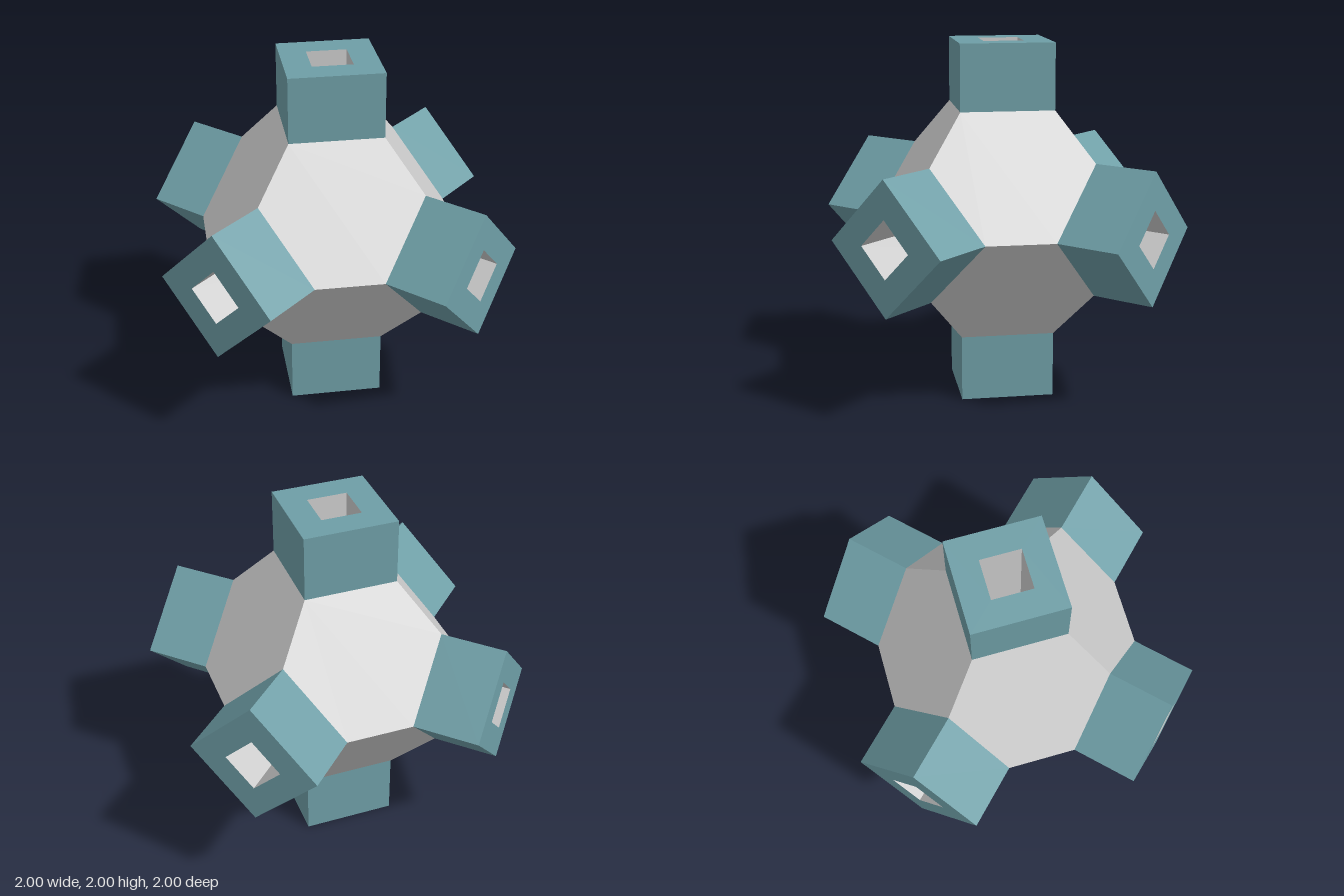
import * as THREE from 'three';

const A = 0.367;   // half diagonal of the arms
const B = 0.633;   // distance from centre to each arm's root
const H = 0.158;   // half diagonal of the tunnels

const grey = new THREE.MeshStandardMaterial({ color: 0xcccccc, flatShading: true });
const teal = new THREE.MeshStandardMaterial({ color: 0x6e9ea6, flatShading: true });

// Flat geometry from convex polygons, each fanned from its first corner
function polygons(list) {
  const pos = [];
  for (const p of list)
    for (let i = 1; i < p.length - 1; i++) pos.push(...p[0], ...p[i], ...p[i + 1]);
  const geo = new THREE.BufferGeometry();
  geo.setAttribute('position', new THREE.Float32BufferAttribute(pos, 3));
  geo.computeVertexNormals();
  return geo;
}

function part(name, geo, material) {
  const mesh = new THREE.Mesh(geo, material);
  mesh.name = name;
  return mesh;
}

// Eight hexagons of a truncated octahedron, mirrored into every octant
function bodyGeometry() {
  const hexagon = [[0, B, A], [0, A, B], [A, 0, B], [B, 0, A], [B, A, 0], [A, B, 0]];
  const faces = [];
  for (const x of [-1, 1]) for (const y of [-1, 1]) for (const z of [-1, 1]) {
    const face = hexagon.map((p) => [p[0] * x, p[1] * y, p[2] * z]);
    faces.push(x * y * z > 0 ? face : face.reverse());
  }
  return polygons(faces);
}

// Inner walls of one tunnel, mitred where the three tunnels cross
function tunnelGeometry() {
  const wall = [[0, 1, H], [H, 1, 0], [H, H, 0], [H / 2, H / 2, H / 2], [0, H, H]];
  const up = new THREE.Vector3(0, 1, 0);
  const walls = [0, 1, 2, 3].map((i) => wall.map((p) =>
    new THREE.Vector3(...p).applyAxisAngle(up, i * Math.PI / 2).toArray()));
  return polygons(walls);
}

// Square end face with a square opening
function capGeometry() {
  const diamond = (r) => [[r, 0], [0, r], [-r, 0], [0, -r]].map((p) => new THREE.Vector2(...p));
  const shape = new THREE.Shape(diamond(A));
  shape.holes.push(new THREE.Path(diamond(H).reverse()));
  return new THREE.ShapeGeometry(shape).rotateX(-Math.PI / 2).translate(0, 1, 0);
}

export function createModel() {
  const model = new THREE.Group();
  model.name = 'sixArmedConnector';
  model.add(part('body', bodyGeometry(), grey));

  const sides = new THREE.CylinderGeometry(A, A, 1 - B, 4, 1, true).translate(0, (1 + B) / 2, 0);
  const cap = capGeometry();
  const tunnel = tunnelGeometry();

  // One arm along each axis direction
  const q = Math.PI / 2;
  const arms = {
    topArm: [0, 0, 0], bottomArm: [Math.PI, 0, 0],
    frontArm: [q, 0, 0], backArm: [-q, 0, 0],
    leftArm: [0, 0, -q], rightArm: [0, 0, q],
  };
  for (const [name, rotation] of Object.entries(arms)) {
    const arm = new THREE.Group();
    arm.name = name;
    arm.rotation.set(...rotation);
    arm.add(part('armSides', sides, teal), part('armEnd', cap, teal), part('tunnelWalls', tunnel, grey));
    model.add(arm);
  }

  model.children.forEach((child) => { child.position.y = 1; });
  return model;
}
